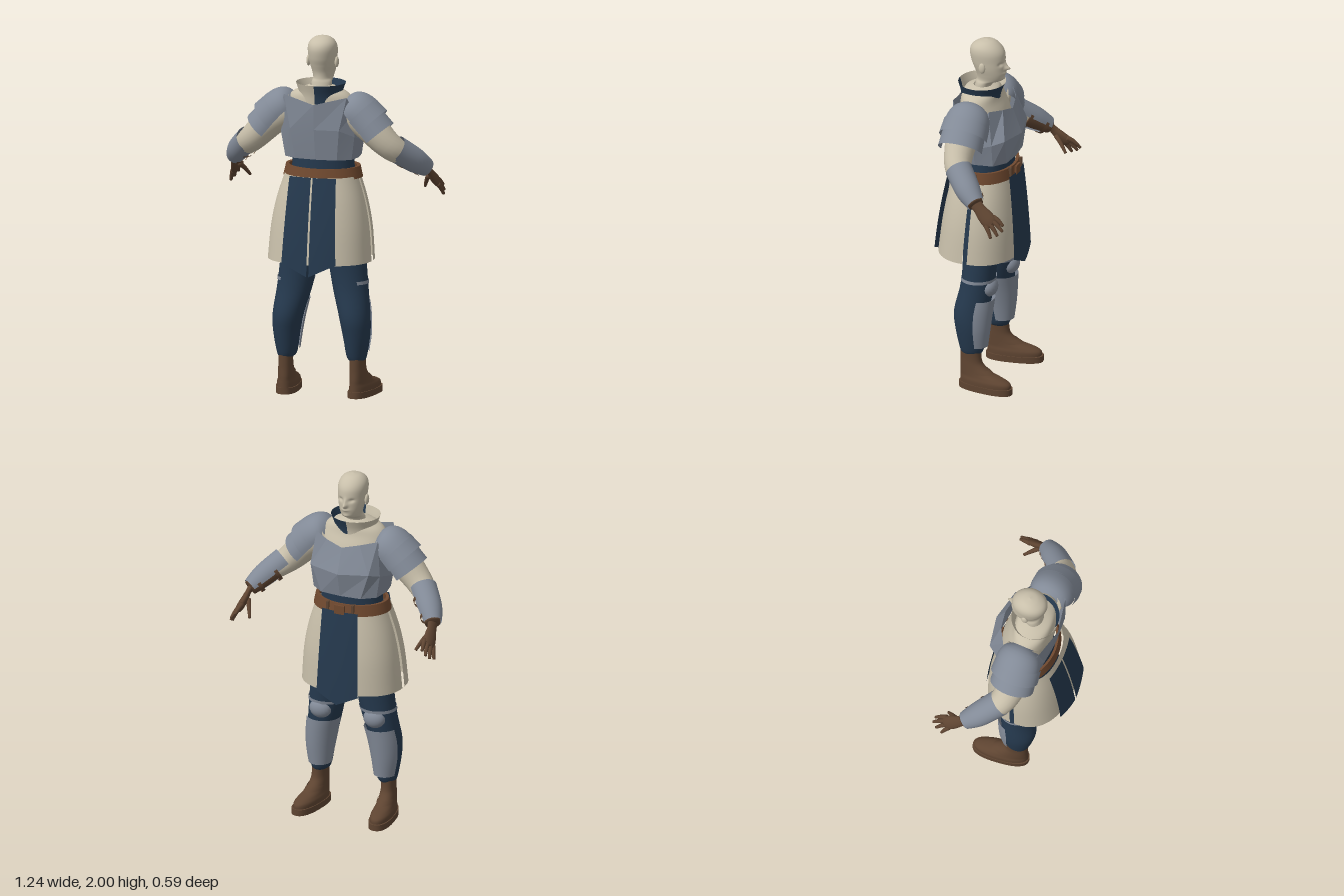
import * as THREE from 'three';
import { toCreasedNormals } from 'three/addons/utils/BufferGeometryUtils.js';

const PI = Math.PI;

function makeMaterial(name, color) {
  const m = new THREE.MeshStandardMaterial({ color, side: THREE.DoubleSide });
  m.name = name;
  return m;
}

// smooth interpolation of rows of numbers
function resample(rows, n) {
  const out = [], last = rows.length - 1;
  for (let k = 0; k <= n; k++) {
    const t = (k / n) * last, i = Math.min(Math.floor(t), last - 1), f = t - i;
    const p0 = rows[Math.max(i - 1, 0)], p1 = rows[i], p2 = rows[i + 1], p3 = rows[Math.min(i + 2, last)];
    out.push(p1.map((b, c) => {
      const a = p0[c], d = p2[c], e = p3[c];
      return b + 0.5 * f * (d - a + f * (2 * a - 5 * b + 4 * d - e + f * (3 * (b - d) + e - a)));
    }));
  }
  return out;
}

// surface from rows of points, each row running around the part
function skin(rows, closed, crease = 0) {
  const n = rows[0].length, idx = [], cols = closed ? n : n - 1;
  for (let i = 0; i < rows.length - 1; i++) for (let j = 0; j < cols; j++) {
    const a = i * n + j, b = i * n + (j + 1) % n;
    idx.push(a, b, b + n, a, b + n, a + n);
  }
  const g = new THREE.BufferGeometry();
  g.setAttribute('position', new THREE.Float32BufferAttribute(rows.flat(2), 3));
  g.setIndex(idx);
  if (crease) return toCreasedNormals(g, crease);
  g.computeVertexNormals();
  return g;
}

// stacked horizontal outlines: [y, centre x, half width, back z, front z]
function stack(sections, o = {}) {
  const { a0 = 0, a1 = 2 * PI, n = 36, smooth = 0, pow = 1, crease = 0, warp } = o;
  const closed = a1 - a0 > 6.28, count = closed ? n : n + 1;
  const bend = t => Math.sign(t) * Math.abs(t) ** pow;
  const rows = (smooth ? resample(sections, smooth) : sections).map(([y, cx, w, zb, zf]) =>
    Array.from({ length: count }, (_, j) => {
      const a = a0 + (a1 - a0) * j / n;
      const p = [cx + w * bend(Math.cos(a)), y, (zb + zf) / 2 - (zb - zf) / 2 * bend(Math.sin(a))];
      return warp ? warp(p) : p;
    }));
  return skin(rows, closed, crease);
}

// tapered tube along [x, y, z, radius]; ref marks angle 0, flat squashes it sideways
function tube(points, o = {}) {
  const { arc = PI, ref = [0, 1, 0], flat = 1, n = 20, smooth = 12, cap = true } = o;
  const path = resample(points, smooth), m = path.length;
  const V = p => new THREE.Vector3(p[0], p[1], p[2]);
  const closed = arc >= PI, count = closed ? n : n + 1;
  const rows = path.map((p, i) => {
    const d = V(path[Math.min(i + 1, m - 1)]).sub(V(path[Math.max(i - 1, 0)])).normalize();
    const u = new THREE.Vector3(...ref).addScaledVector(d, -d.dot(new THREE.Vector3(...ref))).normalize();
    const v = d.clone().cross(u);
    return Array.from({ length: count }, (_, j) => {
      const a = -arc + 2 * arc * j / n;
      return V(p).addScaledVector(u, p[3] * Math.cos(a)).addScaledVector(v, p[3] * flat * Math.sin(a)).toArray();
    });
  });
  if (cap && closed) {
    const pole = p => Array.from({ length: count }, () => p.slice(0, 3));
    rows.unshift(pole(path[0]));
    rows.push(pole(path[m - 1]));
  }
  return skin(rows, closed);
}

export function createModel() {
  const cream = makeMaterial('cream', 0xc8bfaa), navy = makeMaterial('navy', 0x25394e);
  const steel = makeMaterial('steel', 0x828a97), leather = makeMaterial('dark leather', 0x5e4431);
  const beltBrown = makeMaterial('belt leather', 0x70492f);
  const model = new THREE.Group();
  const add = (parent, name, geo, mat, pos) => {
    const mesh = new THREE.Mesh(geo, mat);
    mesh.name = name;
    if (pos) mesh.position.set(...pos);
    parent.add(mesh);
    return mesh;
  };
  const ball = (parent, name, mat, pos, scale) =>
    add(parent, name, new THREE.SphereGeometry(1, 20, 14), mat, pos).scale.set(...scale);

  // head and neck, with eye sockets pressed in and nose and lips pulled out (face is -z)
  const bump = (p, x, y, sx, sy) => Math.exp(-(((Math.abs(p[0]) - x) / sx) ** 2) - ((p[1] - y) / sy) ** 2);
  const face = p => {
    if (p[2] < 0) p[2] += 0.011 * bump(p, 0.032, 1.872, 0.014, 0.01) - 0.007 * bump(p, 0, 1.815, 0.02, 0.007)
      - 0.026 * bump(p, 0, 1.842, 0.011, 0.012) - 0.012 * bump(p, 0, 1.86, 0.008, 0.02)
      - 0.006 * bump(p, 0, 1.778, 0.02, 0.01);
    return p;
  };
  add(model, 'head', stack([
    [1.6, 0, 0.08, 0.12, -0.02], [1.7, 0, 0.06, 0.098, 0], [1.745, 0, 0.056, 0.088, -0.012], [1.768, 0, 0.054, 0.082, -0.062],
    [1.8, 0, 0.062, 0.085, -0.078], [1.84, 0, 0.072, 0.1, -0.08], [1.88, 0, 0.077, 0.115, -0.079], [1.93, 0, 0.08, 0.122, -0.074],
    [1.965, 0, 0.07, 0.108, -0.052], [1.99, 0, 0.043, 0.07, -0.017], [2, 0, 0.001, 0.026, 0.024]],
  { n: 72, smooth: 90, warp: face }), cream);

  // torso, collar halves and waist
  add(model, 'shirt', stack([[1.3, 0, 0.16, 0.13, -0.11], [1.45, 0, 0.19, 0.15, -0.12], [1.58, 0, 0.195, 0.165, -0.085],
    [1.65, 0, 0.185, 0.16, -0.055], [1.69, 0, 0.155, 0.155, -0.045], [1.715, 0, 0.1, 0.14, -0.035], [1.73, 0, 0.06, 0.1, 0]],
  { smooth: 24 }), cream);
  const collar = [[1.64, 0, 0.125, 0.165, -0.05], [1.69, 0, 0.12, 0.17, -0.055], [1.745, 0, 0.137, 0.185, -0.075]];
  add(model, 'leftCollar', stack(collar, { a0: -PI / 2, a1: PI / 2, smooth: 6 }), navy);
  add(model, 'rightCollar', stack(collar, { a0: PI / 2, a1: 1.5 * PI, smooth: 6 }), cream);
  add(model, 'waist', stack([[1.0, 0, 0.19, 0.15, -0.12], [1.2, 0, 0.18, 0.145, -0.12], [1.37, 0, 0.168, 0.14, -0.125]], { smooth: 8 }), navy);
  add(model, 'hips', stack([[0.84, 0, 0.02, 0.03, 0], [0.88, 0, 0.16, 0.12, -0.1], [1.02, 0, 0.19, 0.15, -0.12]], { smooth: 8 }), navy);

  // faceted cuirass: half outline from front centre to back centre, bottom to top, mirrored
  const plate = [
    [[0, 1.33, -0.145], [0.12, 1.33, -0.135], [0.19, 1.33, -0.08], [0.205, 1.33, 0.02], [0.19, 1.33, 0.1], [0.12, 1.33, 0.145], [0, 1.33, 0.155]],
    [[0, 1.47, -0.178], [0.17, 1.48, -0.142], [0.21, 1.46, -0.08], [0.225, 1.43, 0.02], [0.21, 1.46, 0.11], [0.14, 1.5, 0.17], [0, 1.5, 0.182]],
    [[0, 1.61, -0.125], [0.1, 1.635, -0.105], [0.185, 1.65, -0.055], [0.218, 1.5, 0.02], [0.212, 1.6, 0.11], [0.18, 1.685, 0.155], [0, 1.64, 0.188]]];
  const ring = plate.map(r => [...r.slice(0, 6).map(([x, y, z]) => [-x, y, z]), ...r.slice(1).reverse()]);
  const half = plate.map(r => r.slice().reverse());
  const other = plate.map(r => r.map(([x, y, z]) => [-x, y, z]));
  const cuirass = new THREE.Group();
  cuirass.name = 'cuirass';
  model.add(cuirass);
  if (ring.length) [half, other].forEach((rows, i) =>
    add(cuirass, i ? 'rightPlate' : 'leftPlate', skin(rows, false, 0.12), steel));

  // belt with buckle
  add(model, 'belt', stack([[1.222, 0, 0.205, 0.17, -0.135], [1.22, 0, 0.222, 0.183, -0.152], [1.282, 0, 0.208, 0.168, -0.142], [1.28, 0, 0.19, 0.155, -0.125]],
    { n: 48, crease: 0.7 }), beltBrown);
  add(model, 'buckle', new THREE.BoxGeometry(0.06, 0.05, 0.012), beltBrown, [0, 1.251, -0.152]);
  for (const x of [-0.075, 0.075]) add(model, 'beltLoop', new THREE.BoxGeometry(0.014, 0.066, 0.02), leather, [x, 1.251, -0.138]);

  // skirt in front and back halves, open at the sides
  const skirt = [[0.765, 0, 0.292, 0.275, -0.182], [0.95, 0, 0.277, 0.252, -0.178], [1.1, 0, 0.248, 0.225, -0.162], [1.235, 0, 0.205, 0.19, -0.14]];
  add(model, 'skirtFront', stack(skirt, { a0: 0.035, a1: PI - 0.035, smooth: 14, pow: 0.85 }), cream);
  add(model, 'skirtBack', stack(skirt, { a0: PI + 0.035, a1: 2 * PI - 0.035, smooth: 14, pow: 0.85 }), cream);

  // pointed tabard panels: from x0 to x1 (at the hem), z at top and hem
  const tabard = (x0, x1, zTop, zHem, sag) => {
    const rows = [];
    for (let i = 0; i <= 12; i++) {
      const t = i / 12, row = [];
      for (let j = 0; j <= 8; j++) {
        const xh = x0 + (x1 - x0) * j / 8, x = xh * (0.86 + 0.14 * t);
        const hem = 0.7 + 0.07 * Math.abs(xh) / 0.15;
        const z = zTop + (zHem - zTop) * (t + 0.45 * t * (1 - t));
        row.push([x, 1.24 + (hem - 1.24) * t, z - sag * x * x]);
      }
      rows.push(row);
    }
    return skin(rows, false);
  };
  add(model, 'tabardFront', tabard(0.125, -0.125, -0.155, -0.195, -0.9), navy);
  add(model, 'tabardBackLeft', tabard(0.006, 0.155, 0.215, 0.296, 0.9), navy);
  add(model, 'tabardBackRight', tabard(-0.155, -0.006, 0.215, 0.296, 0.9), navy);

  // limbs, built for +x and mirrored
  for (const s of [1, -1]) {
    const side = new THREE.Group();
    side.name = s > 0 ? 'leftSide' : 'rightSide';
    side.scale.x = s;
    model.add(side);
    ball(side, 'ear', cream, [0.081, 1.855, 0.025], [0.011, 0.03, 0.019]);

    // sleeve and layered shoulder armour
    add(side, 'sleeve', tube([[0.14, 1.61, 0.05, 0.09], [0.27, 1.53, 0.06, 0.09], [0.36, 1.44, 0.055, 0.079],
      [0.42, 1.385, 0.03, 0.069], [0.48, 1.34, -0.03, 0.055]]), cream);
    const lames = [
      [[0.145, 1.64, 0.055, 0.04], [0.165, 1.63, 0.055, 0.085], [0.2, 1.605, 0.055, 0.108], [0.24, 1.57, 0.055, 0.115]],
      [[0.225, 1.58, 0.058, 0.117], [0.285, 1.52, 0.058, 0.122]],
      [[0.265, 1.535, 0.06, 0.108], [0.325, 1.465, 0.06, 0.112]]];
    for (const l of lames) add(side, 'shoulderLame', tube(l, { arc: 1.85, ref: [0.7, 0.7, 0], flat: 1.1, n: 28, smooth: 8 }), steel);

    // bracer over a leather lining, with straps
    add(side, 'bracer', tube([[0.42, 1.395, 0.03, 0.074], [0.5, 1.32, -0.055, 0.069], [0.55, 1.268, -0.12, 0.05]],
      { arc: 2.3, ref: [0.7, 0.6, 0.3], n: 24 }), steel);
    add(side, 'bracerLining', tube([[0.46, 1.355, -0.015, 0.058], [0.5, 1.32, -0.055, 0.057], [0.553, 1.264, -0.125, 0.042]]), leather);
    for (const [x, y, z, r] of [[0.462, 1.356, -0.015, 0.075], [0.525, 1.295, -0.086, 0.064]])
      add(side, 'bracerStrap', tube([[x, y, z, r], [x + 0.011, y - 0.011, z - 0.013, r - 0.002]],
        { arc: 1.1, ref: [-0.7, -0.6, -0.3], smooth: 2 }), leather);

    // gloved hand
    const across = [0.045, -0.07, 0.07];
    add(side, 'palm', tube([[0.548, 1.272, -0.118, 0.036], [0.557, 1.245, -0.145, 0.032], [0.563, 1.215, -0.175, 0.04],
      [0.572, 1.185, -0.21, 0.042], [0.577, 1.17, -0.228, 0.032]], { ref: across, flat: 0.5 }), leather);
    const fingers = [
      [[0.553, 1.208, -0.225], [0.566, 1.168, -0.288]], [[0.568, 1.192, -0.222], [0.588, 1.145, -0.292]],
      [[0.58, 1.178, -0.212], [0.602, 1.12, -0.268]], [[0.588, 1.165, -0.196], [0.611, 1.103, -0.232]],
      [[0.545, 1.215, -0.165], [0.502, 1.14, -0.238]]];
    for (const [a, b] of fingers) {
      const mid = a.map((v, k) => (v + b[k]) / 2 + (k === 1 ? 0.006 : 0));
      add(side, 'finger', tube([[...a, 0.014], [...mid, 0.012], [...b, 0.008]], { n: 10, smooth: 6 }), leather);
    }

    // leg, greave, knee guard
    add(side, 'leg', stack([[0.2, 0.205, 0.035, 0.09, -0.01], [0.23, 0.2, 0.055, 0.105, -0.03], [0.35, 0.2, 0.074, 0.13, -0.048],
      [0.45, 0.19, 0.085, 0.14, -0.055], [0.6, 0.16, 0.098, 0.112, -0.072], [0.76, 0.137, 0.105, 0.106, -0.085], [1.0, 0.11, 0.105, 0.12, -0.11]],
    { smooth: 28 }), navy);
    add(side, 'greave', stack([[0.25, 0.197, 0.064, 0.09, -0.053], [0.35, 0.197, 0.081, 0.12, -0.066], [0.45, 0.187, 0.091, 0.13, -0.076],
      [0.53, 0.172, 0.094, 0.11, -0.083]], { a0: 0.25, a1: PI + 0.15, smooth: 10 }), steel);
    ball(side, 'kneeGuard', steel, [0.163, 0.595, -0.05], [0.064, 0.055, 0.047]);
    add(side, 'kneeStrap', stack([[0.632, 0.156, 0.103, 0.115, -0.082], [0.65, 0.153, 0.104, 0.115, -0.084]], { a0: -0.9, a1: PI }), steel);

    // boot, toes turned slightly outward
    const boot = new THREE.Group();
    boot.name = 'boot';
    boot.position.x = 0.212;
    boot.rotation.y = -0.13;
    side.add(boot);
    add(boot, 'sole', stack([[0, 0, 0.001, -0.049, -0.051], [0, 0, 0.062, 0.108, -0.212], [0.035, 0, 0.062, 0.108, -0.212], [0.036, 0, 0.001, -0.049, -0.051]],
      { pow: 0.8, crease: 0.6 }), leather);
    add(boot, 'upper', stack([[0.03, 0, 0.058, 0.102, -0.203], [0.058, 0, 0.057, 0.102, -0.2], [0.078, 0, 0.05, 0.102, -0.16], [0.1, 0, 0.045, 0.102, -0.09],
      [0.14, 0, 0.041, 0.1, -0.035], [0.18, 0, 0.039, 0.1, -0.02], [0.245, 0, 0.041, 0.1, -0.018]], { smooth: 24, pow: 0.9 }), leather);
    add(boot, 'instepStrap', stack([[0.098, 0, 0.049, 0.105, -0.1], [0.118, 0, 0.047, 0.104, -0.068]], { a0: 0.2, a1: PI - 0.2 }), leather);
  }
  return model;
}
